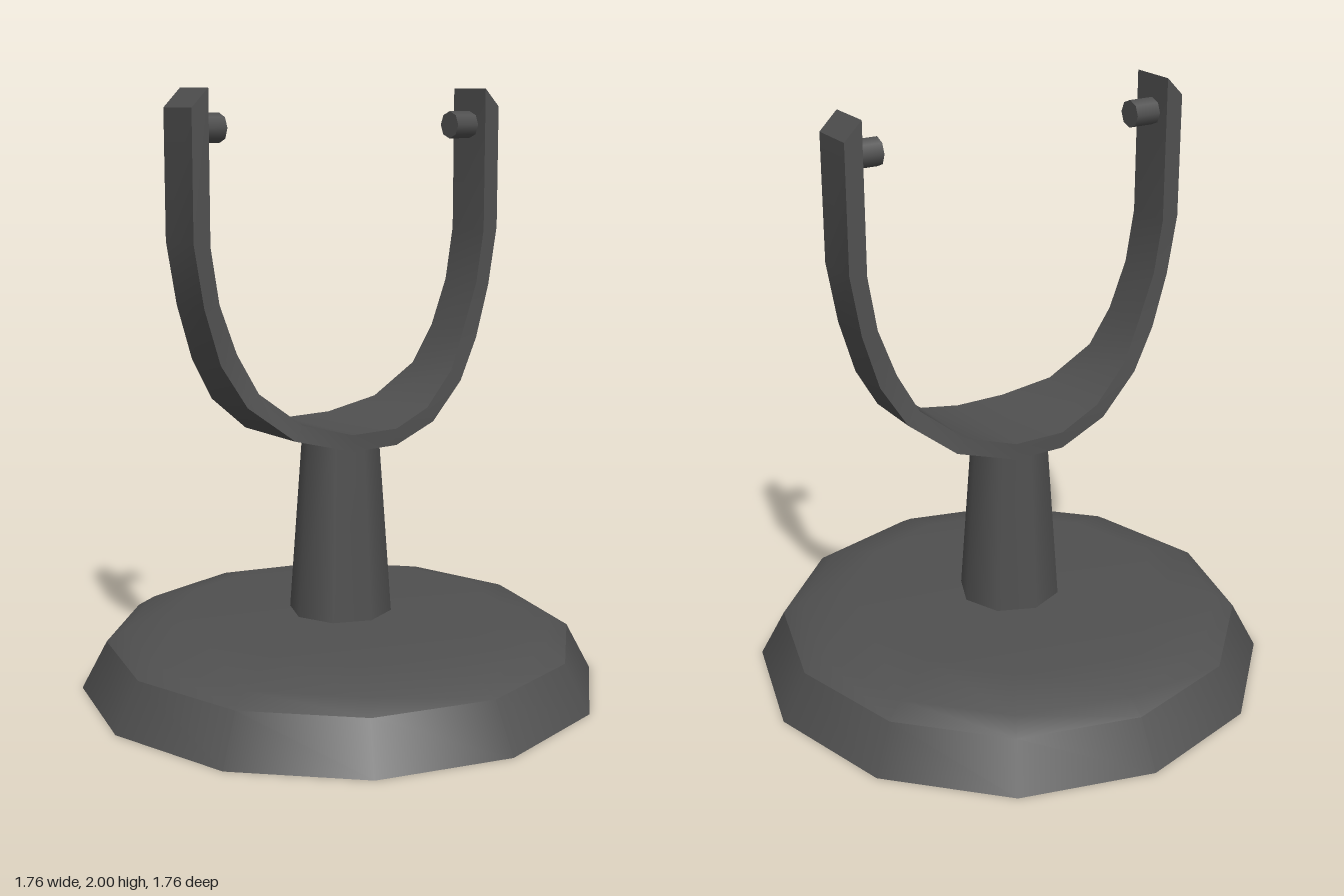
import * as THREE from 'three';
import { toCreasedNormals } from 'three/addons/utils/BufferGeometryUtils.js';

// Half of the fork, tip to bottom: [outer x, outer y, inner x, inner y, half depth]
const FORK = [
  [0.615, 1.94, 0.555, 2.0, 0.082],
  [0.615, 1.53, 0.555, 1.52, 0.082],
  [0.58, 1.33, 0.525, 1.34, 0.082],
  [0.525, 1.15, 0.465, 1.18, 0.085],
  [0.44, 1.01, 0.397, 1.05, 0.105],
  [0.285, 0.89, 0.258, 0.94, 0.145],
  [0.09, 0.84, 0.09, 0.895, 0.19],
];

function forkGeometry() {
  const mirrored = [...FORK].reverse().map(([ox, oy, ix, iy, d]) => [-ox, oy, -ix, iy, d]);
  const stations = [...FORK, ...mirrored];
  const positions = [];
  for (const [ox, oy, ix, iy, d] of stations) {
    positions.push(ox, oy, d, ix, iy, d, ix, iy, -d, ox, oy, -d);
  }
  const index = [];
  const quad = (a, b, c, d) => index.push(a, b, c, a, c, d);
  for (let i = 0; i < stations.length - 1; i++) {
    for (let k = 0; k < 4; k++) {
      const n = (k + 1) % 4;
      quad(i * 4 + k, i * 4 + n, i * 4 + 4 + n, i * 4 + 4 + k);
    }
  }
  // Slanted tips
  const e = (stations.length - 1) * 4;
  quad(0, 3, 2, 1);
  quad(e, e + 1, e + 2, e + 3);
  const geometry = new THREE.BufferGeometry();
  geometry.setAttribute('position', new THREE.Float32BufferAttribute(positions, 3));
  geometry.setIndex(index);
  return toCreasedNormals(geometry, 0.6);
}

export function createModel() {
  const group = new THREE.Group();
  const darkGrey = new THREE.MeshStandardMaterial({ color: 0x505050 });
  darkGrey.name = 'darkGrey';

  const add = (name, geometry, x = 0, y = 0, z = 0) => {
    const mesh = new THREE.Mesh(geometry, darkGrey);
    mesh.name = name;
    mesh.position.set(x, y, z);
    group.add(mesh);
    return mesh;
  };
  const lathe = (points, sides) =>
    new THREE.LatheGeometry(points.map(([r, y]) => new THREE.Vector2(r, y)), sides);

  // Twelve-sided foot: sloping rim, domed top and flat underside
  add('baseRim', lathe([[0.88, 0], [0.795, 0.16]], 12));
  add('baseTop', lathe([[0.795, 0.16], [0.73, 0.2], [0.555, 0.25], [0, 0.25]], 12));
  add('baseUnderside', lathe([[0, 0], [0.88, 0]], 12));

  // Tapered column up to the fork
  add('column', new THREE.CylinderGeometry(0.13, 0.175, 0.62, 8, 1), 0, 0.55, 0);

  // U-shaped fork, wider where it meets the column
  add('fork', forkGeometry());

  // Pivot pins on the inside of each arm
  for (const side of [1, -1]) {
    const pin = add(side > 0 ? 'leftPin' : 'rightPin',
      new THREE.CylinderGeometry(0.046, 0.046, 0.1, 8), side * 0.515, 1.878, 0);
    pin.rotation.z = Math.PI / 2;
  }
  return group;
}
